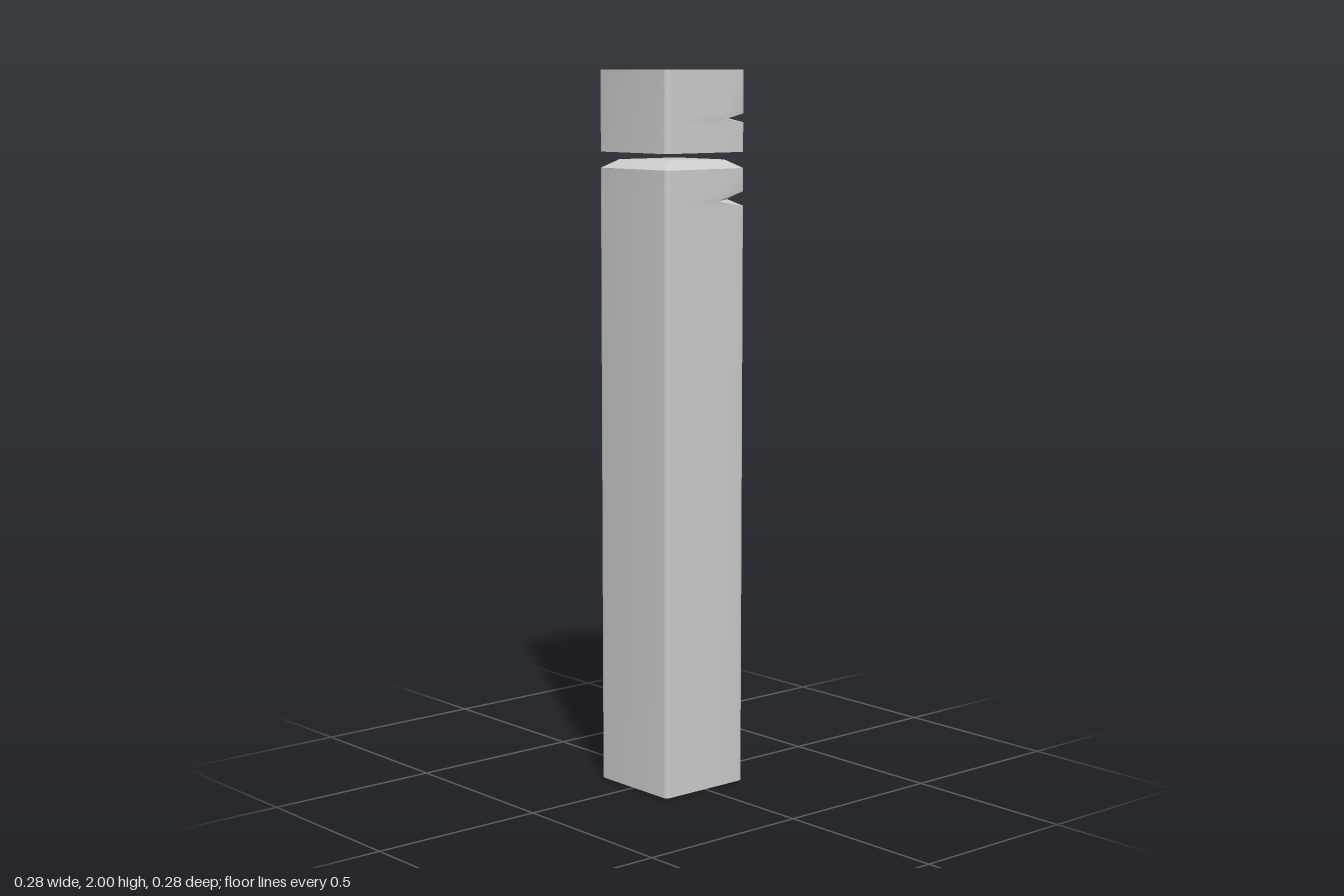
import * as THREE from 'three';
import { toCreasedNormals } from 'three/addons/utils/BufferGeometryUtils.js';

const HALF = 0.142, RADIUS = 0.012, STEPS = 6;

// Rounded-square outline, with the two notch tips as extra points beside the +x +z corner.
// When cut is true, that corner collapses onto the straight line between the tips.
function ring(y, half, notch, cut = false) {
  const sideTip = new THREE.Vector3(half, y, notch.z);
  const frontTip = new THREE.Vector3(notch.x, y, half);
  const points = [];
  const c = half - RADIUS;
  for (let k = 0; k < 4; k++) {
    const cx = k === 0 || k === 3 ? c : -c;
    const cz = k < 2 ? c : -c;
    if (k === 0) points.push(sideTip);
    for (let i = 0; i <= STEPS; i++) {
      const a = (k + i / STEPS) * Math.PI / 2;
      points.push(k === 0 && cut
        ? sideTip.clone().lerp(frontTip, i / STEPS)
        : new THREE.Vector3(cx + RADIUS * Math.cos(a), y, cz + RADIUS * Math.sin(a)));
    }
    if (k === 0) points.push(frontTip);
  }
  return points;
}

// Closed solid through a stack of rings, listed from bottom to top
function loft(rings) {
  const positions = [];
  const triangle = new THREE.Triangle();
  const face = (a, b, c) => {
    if (triangle.set(a, b, c).getArea() < 1e-9) return;
    for (const p of [a, b, c]) positions.push(p.x, p.y, p.z);
  };
  const n = rings[0].length;
  const bottom = rings[0], top = rings[rings.length - 1];
  const bottomCentre = new THREE.Vector3(0, bottom[0].y, 0);
  const topCentre = new THREE.Vector3(0, top[0].y, 0);
  for (let j = 0; j < n; j++) {
    const k = (j + 1) % n;
    for (let i = 0; i < rings.length - 1; i++) {
      const lo = rings[i], up = rings[i + 1];
      face(lo[j], up[j], lo[k]);
      face(up[j], up[k], lo[k]);
    }
    face(bottomCentre, bottom[j], bottom[k]);
    face(topCentre, top[k], top[j]);
  }
  const geometry = new THREE.BufferGeometry();
  geometry.setAttribute('position', new THREE.Float32BufferAttribute(positions, 3));
  return toCreasedNormals(geometry, 0.6);
}

export function createModel() {
  const group = new THREE.Group();
  group.name = 'post';
  const material = new THREE.MeshStandardMaterial({ color: 0xcccccc });
  const add = (name, rings) => {
    const mesh = new THREE.Mesh(loft(rings), material);
    mesh.name = name;
    group.add(mesh);
  };

  // Long shaft with a corner notch and a bevelled top
  const low = { x: 0.042, z: 0.07 };
  add('shaft', [
    ring(0, HALF, low),
    ring(1.63, HALF, low),
    ring(1.645, HALF, low, true),
    ring(1.669, HALF, low),
    ring(1.733, HALF, low),
    ring(1.756, 0.106, low),
  ]);

  // Separate cap block above the gap, with a smaller notch
  const high = { x: 0.072, z: 0.072 };
  add('cap', [
    ring(1.777, HALF, high),
    ring(1.858, HALF, high),
    ring(1.867, HALF, high, true),
    ring(1.881, HALF, high),
    ring(2, HALF, high),
  ]);

  return group;
}
